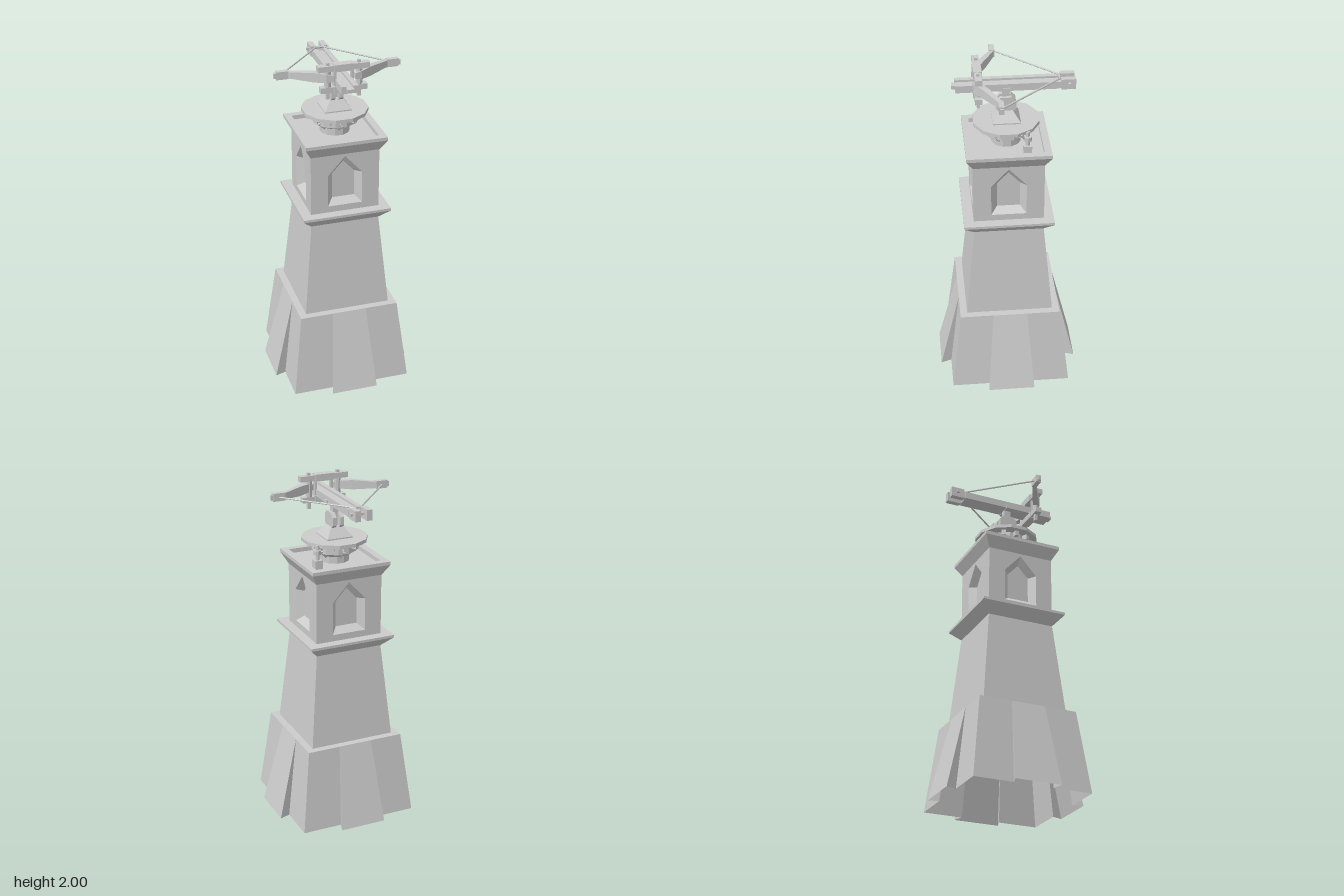
import * as THREE from 'three';

const material = new THREE.MeshStandardMaterial({ color: 0xcccccc, flatShading: true, side: THREE.DoubleSide });

function add(parent, name, geometry, x = 0, y = 0, z = 0) {
  const mesh = new THREE.Mesh(geometry, material);
  mesh.name = name;
  mesh.position.set(x, y, z);
  parent.add(mesh);
  return mesh;
}

// Box given by its lower and upper limits on each axis
function block(parent, name, x0, x1, y0, y1, z0, z1) {
  return add(parent, name, new THREE.BoxGeometry(x1 - x0, y1 - y0, z1 - z0), (x0 + x1) / 2, (y0 + y1) / 2, (z0 + z1) / 2);
}

// Faceted skin through closed rings of equal point count, with optional end caps
function loft(rings, capStart = false, capEnd = false) {
  const pos = [];
  const n = rings[0].length;
  for (let r = 0; r < rings.length - 1; r++) {
    for (let i = 0; i < n; i++) {
      const j = (i + 1) % n;
      const [a, b, c, d] = [rings[r][i], rings[r][j], rings[r + 1][j], rings[r + 1][i]];
      pos.push(...a, ...b, ...c, ...a, ...c, ...d);
    }
  }
  const last = rings[rings.length - 1];
  for (let i = 1; i < n - 1; i++) {
    if (capStart) pos.push(...rings[0][0], ...rings[0][i + 1], ...rings[0][i]);
    if (capEnd) pos.push(...last[0], ...last[i], ...last[i + 1]);
  }
  const g = new THREE.BufferGeometry();
  g.setAttribute('position', new THREE.Float32BufferAttribute(pos, 3));
  g.computeVertexNormals();
  return g;
}

const square = (h, y) => [[-h, y, h], [h, y, h], [h, y, -h], [-h, y, -h]];

// Thin bar between two points
function rod(parent, name, a, b, radius, sides = 6) {
  const p = new THREE.Vector3(...a), q = new THREE.Vector3(...b);
  const mesh = add(parent, name, new THREE.CylinderGeometry(radius, radius, p.distanceTo(q), sides));
  mesh.position.copy(p).add(q).multiplyScalar(0.5);
  mesh.quaternion.setFromUnitVectors(new THREE.Vector3(0, 1, 0), q.sub(p).normalize());
  return mesh;
}

function buildTower(root) {
  const tower = new THREE.Group();
  tower.name = 'tower';
  root.add(tower);

  // Battered base: one flared buttress in the middle of each side, open below
  const baseRing = (y, corner, inner, outer, reach) => {
    const ring = [];
    for (let k = 0; k < 4; k++) {
      const c = Math.round(Math.cos(k * Math.PI / 2)), s = Math.round(Math.sin(k * Math.PI / 2));
      for (const [x, z] of [[-corner, corner], [-inner, corner], [-outer, reach], [outer, reach], [inner, corner]]) {
        ring.push([x * c + z * s, y, -x * s + z * c]);
      }
    }
    return ring;
  };
  add(tower, 'buttressedBase', loft([baseRing(0, 0.35, 0.117, 0.137, 0.411), baseRing(0.485, 0.293, 0.1, 0.1, 0.293)]));

  // Tapered shaft, ledge and lower cornice
  add(tower, 'shaft', loft([
    square(0.293, 0.485), square(0.252, 0.485), square(0.2, 1.035),
    square(0.257, 1.095), square(0.257, 1.11), square(0.2, 1.11),
  ]));

  // Upper cornice with sunken roof
  add(tower, 'upperCornice', loft([
    square(0.2, 1.465), square(0.237, 1.53), square(0.237, 1.55), square(0.197, 1.55), square(0.197, 1.525),
  ], false, true));

  // Upper chamber: four walls with bevelled pointed niches
  const outer = [[-0.1, 1.148], [0.1, 1.148], [0.1, 1.34], [0, 1.45], [-0.1, 1.34]];
  const inner = [[-0.065, 1.182], [0.065, 1.182], [0.065, 1.335], [0, 1.405], [-0.065, 1.335]];
  const wall = new THREE.Shape([[-0.2, 1.11], [0.2, 1.11], [0.2, 1.465], [-0.2, 1.465]].map(p => new THREE.Vector2(...p)));
  wall.holes.push(new THREE.Path([...outer].reverse().map(p => new THREE.Vector2(...p))));
  for (let k = 0; k < 4; k++) {
    const side = new THREE.Group();
    side.name = 'chamberSide';
    side.rotation.y = k * Math.PI / 2;
    tower.add(side);
    add(side, 'wall', new THREE.ShapeGeometry(wall), 0, 0, 0.2);
    add(side, 'niche', loft([outer.map(p => [...p, 0.2]), inner.map(p => [...p, 0.16])], false, true));
  }
}

function buildTurret(root) {
  const turret = new THREE.Group();
  turret.name = 'turret';
  root.add(turret);

  // Twelve-sided foot, collar and turntable
  const profile = [[0, 1.525], [0.085, 1.525], [0.085, 1.565], [0.11, 1.585], [0.13, 1.59], [0.13, 1.645],
    [0.19, 1.645], [0.19, 1.665], [0, 1.665]].map(p => new THREE.Vector2(...p));
  add(turret, 'turntable', new THREE.LatheGeometry(profile, 12, Math.PI / 12));

  // Lugs and slanted brackets round the collar
  for (let k = 0; k < 12; k++) {
    const spoke = new THREE.Group();
    spoke.name = 'collarBracket';
    spoke.rotation.y = k * Math.PI / 6;
    turret.add(spoke);
    block(spoke, 'lug', -0.012, 0.012, 1.615, 1.645, 0.12, 0.158);
    if (k % 2 === 0) rod(spoke, 'strut', [0, 1.56, 0.075], [0, 1.605, 0.13], 0.01, 4);
  }

  // Turning gear at the back left of the table
  const gear = new THREE.Group();
  gear.name = 'turningGear';
  turret.add(gear);
  block(gear, 'gearFoot', 0.13, 0.175, 1.525, 1.575, -0.13, -0.085);
  rod(gear, 'gearShaft', [0.152, 1.56, -0.107], [0.152, 1.66, -0.107], 0.012, 8);
  add(gear, 'pinion', new THREE.CylinderGeometry(0.024, 0.024, 0.025, 8), 0.155, 1.62, -0.107);
  rod(gear, 'crank', [0.152, 1.59, -0.107], [0.17, 1.65, -0.07], 0.007);

  // Pyramid mount, swivel and post
  add(turret, 'pyramidMount', loft([square(0.078, 1.665), square(0.078, 1.672), square(0.035, 1.73)], false, true));
  const cheek = new THREE.Shape([[-0.035, 1.72], [0.035, 1.72], [0.055, 1.74], [0.055, 1.785], [0.03, 1.81],
    [-0.03, 1.81], [-0.055, 1.785], [-0.055, 1.74]].map(p => new THREE.Vector2(...p)));
  for (const x of [-0.035, 0.011]) {
    const plate = add(turret, 'swivelCheek', new THREE.ExtrudeGeometry(cheek, { depth: 0.024, bevelEnabled: false }), x);
    plate.rotation.y = Math.PI / 2;
  }
  block(turret, 'post', -0.018, 0.018, 1.72, 1.87, -0.02, 0.02);
  block(turret, 'saddle', -0.056, 0.056, 1.855, 1.88, -0.02, 0.02);
}

function buildBallista(root) {
  const ballista = new THREE.Group();
  ballista.name = 'ballista';
  root.add(ballista);

  // Stock with a sunken central slider
  block(ballista, 'stock', -0.048, 0.048, 1.86, 1.885, -0.29, 0.278);
  block(ballista, 'slider', -0.02, 0.02, 1.87, 1.89, -0.29, 0.298);
  block(ballista, 'crossbar', -0.065, 0.065, 1.88, 1.895, -0.35, -0.335);

  // Torsion frame plates
  block(ballista, 'upperPlate', -0.146, 0.146, 1.953, 1.985, 0.138, 0.177);
  block(ballista, 'upperPlateBand', -0.057, 0.057, 1.949, 1.989, 0.134, 0.181);
  block(ballista, 'lowerPlate', -0.132, 0.132, 1.83, 1.862, 0.138, 0.177);
  block(ballista, 'lowerPlateBand', -0.057, 0.057, 1.826, 1.866, 0.134, 0.181);

  for (const s of [1, -1]) {
    const half = new THREE.Group();
    half.name = s > 0 ? 'leftHalf' : 'rightHalf';
    half.scale.x = s;
    ballista.add(half);
    block(half, 'guideRail', 0.02, 0.048, 1.885, 1.902, -0.29, 0.278);
    block(half, 'rearBlock', 0.018, 0.05, 1.855, 1.915, -0.38, -0.3);
    block(half, 'rearLink', 0.022, 0.046, 1.862, 1.9, -0.305, -0.285);
    block(half, 'frameBolt', 0.08, 0.098, 1.79, 2.0, 0.148, 0.166);
    add(half, 'torsionSpring', new THREE.CylinderGeometry(0.02, 0.02, 0.1, 8), 0.089, 1.908, 0.157);
    block(half, 'framePost', 0.042, 0.056, 1.86, 1.955, 0.145, 0.17);

    // Bow arm, thickest at mid length: x, z, half height, half depth
    const section = ([x, z, h, d]) => [[x, 1.915 + h, z - d], [x, 1.915 + h, z + d], [x, 1.915 - h, z + d], [x, 1.915 - h, z - d]];
    const arm = [[0.06, 0.168, 0.016, 0.016], [0.1, 0.158, 0.024, 0.022], [0.16, 0.122, 0.027, 0.02], [0.285, 0.053, 0.018, 0.013]];
    add(half, 'bowArm', loft(arm.map(section), true, true));
    block(half, 'armTip', 0.28, 0.35, 1.893, 1.938, 0.038, 0.067);
    block(half, 'armCap', 0.35, 0.362, 1.9, 1.93, 0.043, 0.062);
    rod(half, 'bowString', [0.315, 1.914, 0.04], [0.022, 1.91, -0.295], 0.005);
  }
  rod(ballista, 'stringNock', [-0.025, 1.91, -0.295], [0.025, 1.91, -0.295], 0.006);
}

export function createModel() {
  const root = new THREE.Group();
  root.name = 'ballistaTower';
  buildTower(root);
  buildTurret(root);
  buildBallista(root);
  return root;
}
